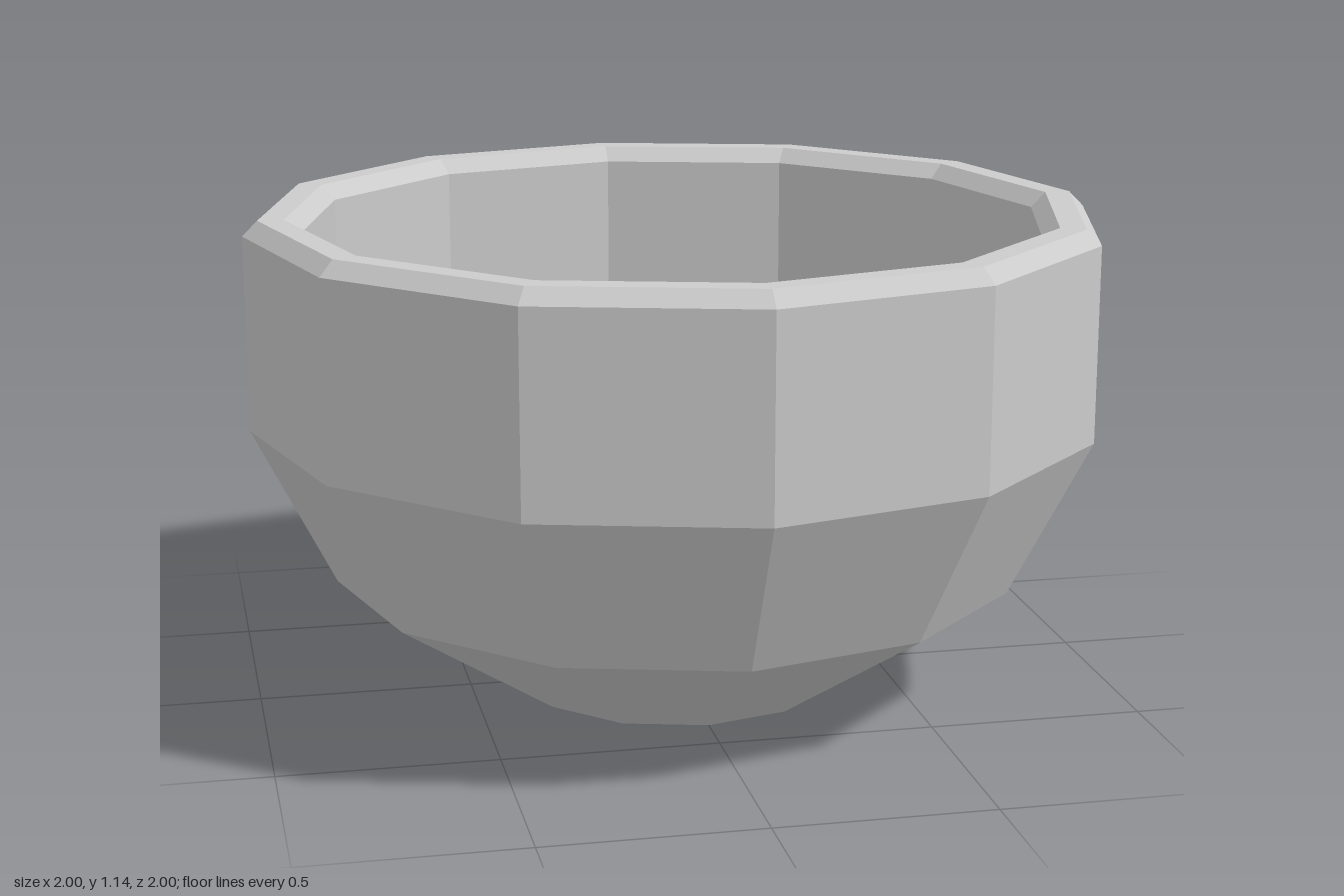
import * as THREE from 'three';

export function createModel() {
  const group = new THREE.Group();
  const material = new THREE.MeshStandardMaterial({ color: 0xcccccc, flatShading: true });

  // One closed profile: underside, outer wall, chamfered rim, inner wall, floor
  const profile = [
    [0, 0], [0.385, 0], [0.81, 0.28], [1, 0.655], [1, 1.11], [0.965, 1.145],
    [0.905, 1.145], [0.87, 1.11], [0.87, 0.54], [0.72, 0.35], [0.42, 0.13], [0, 0.13],
  ].map(([r, y]) => new THREE.Vector2(r, y));

  // Twelve-sided low-poly bowl
  const bowl = new THREE.Mesh(new THREE.LatheGeometry(profile, 12), material);
  bowl.name = 'bowl';
  group.add(bowl);
  return group;
}
